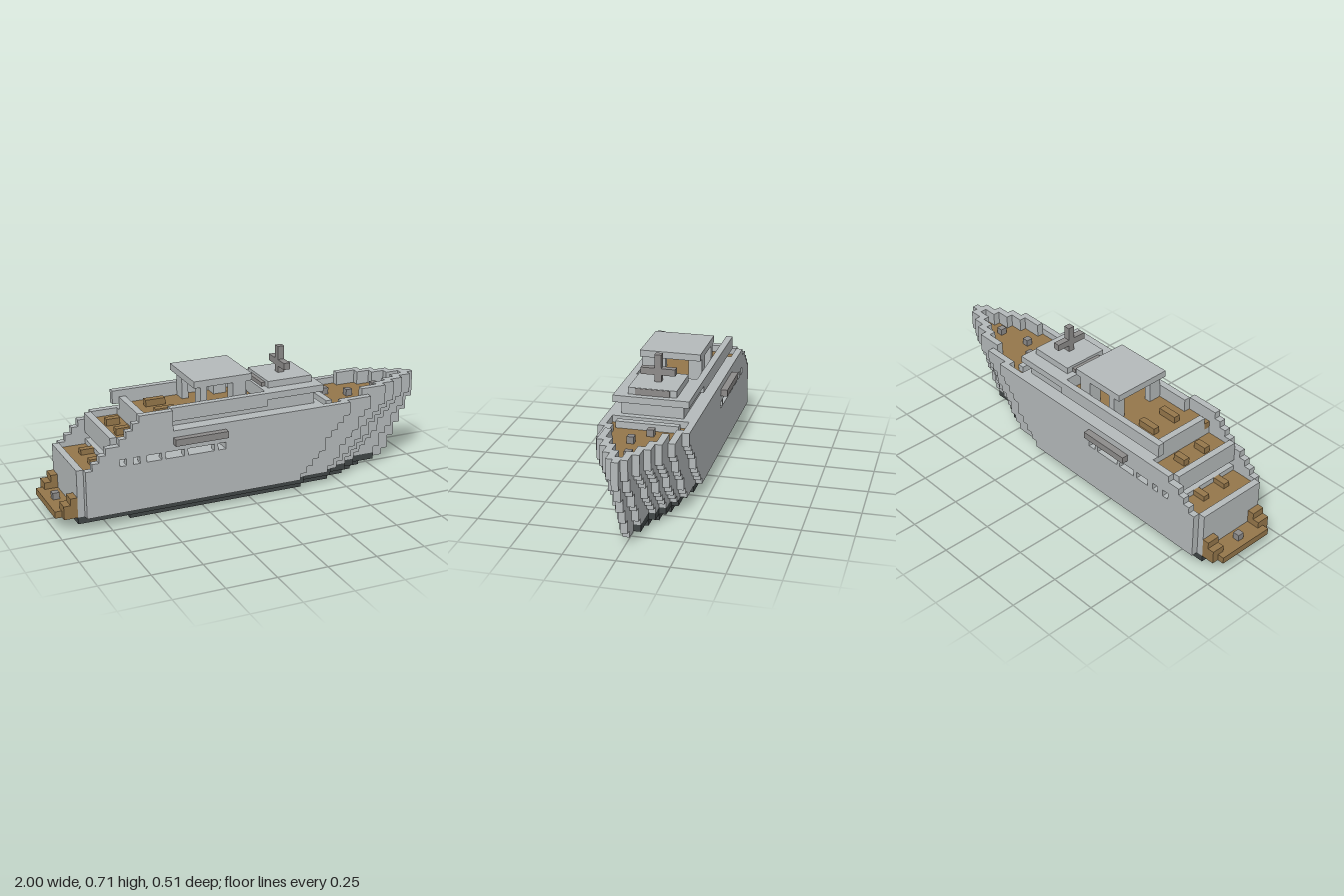
import * as THREE from 'three';
import { mergeGeometries } from 'three/addons/utils/BufferGeometryUtils.js';

const U = 2 / 59; // edge of one block

const paint = (name, color) => {
  const m = new THREE.MeshStandardMaterial({ color });
  m.name = name;
  return m;
};

// Box covering lengthwise cells i0..i1, cross cells j0..j1 (inclusive) and heights k0..k1
function box(i0, i1, j0, j1, k0, k1) {
  const g = new THREE.BoxGeometry((i1 - i0) * U, (k1 - k0) * U, (j1 - j0 + 1) * U);
  g.translate(-1 + (i0 + i1) / 2 * U, (k0 + k1) / 2 * U, (j0 + j1) / 2 * U);
  return g;
}
// The same box on both sides of the centre line
const pair = (i0, i1, j0, j1, k0, k1) => [box(i0, i1, j0, j1, k0, k1), box(i0, i1, -j1, -j0, k0, k1)];

// Forward end of hull row r (0 centre .. 6 side) at layer k: the bow flares with height
const LOW = [55, 52, 48, 46, 44, 42, 37];
const HIGH = [59, 58, 56, 54, 52, 49, 45];
function bowEnd(k, r) {
  const t = Math.min(1, (k - 2) / 9);
  return Math.round(LOW[r] + (HIGH[r] - LOW[r]) * t);
}

// One solid layer of the hull, split into rows towards the bow
function solidLayer(k, i0) {
  const out = [box(Math.max(i0, 4), bowEnd(k, 6), -6, 6, k, k + 1)];
  if (i0 < 4) out.push(box(i0, 4, -5, 5, k, k + 1));
  for (let r = 5; r >= 0; r--) {
    const a = bowEnd(k, r + 1), b = bowEnd(k, r);
    if (b > a) out.push(box(a, b, -r, r, k, k + 1));
  }
  return out;
}

// Stepped bow wall of one layer, for rows up to rMax
function bowWall(k, rMax) {
  const out = [];
  for (let r = rMax; r >= 0; r--) {
    const a = bowEnd(k, r + 1) - 1, b = bowEnd(k, r);
    out.push(...(r ? pair(a, b, r, r, k, k + 1) : [box(a, b, 0, 0, k, k + 1)]));
  }
  return out;
}

export function createModel() {
  const ship = new THREE.Group();
  ship.name = 'ship';
  const grey = paint('lightGrey', 0xb4b9ba);
  const dark = paint('midGrey', 0x8d8b8a);
  const keel = paint('charcoal', 0x404646);
  const wood = paint('deckBrown', 0x94764a);

  const add = (name, material, parts) => {
    const mesh = new THREE.Mesh(mergeGeometries(parts), material);
    mesh.name = name;
    ship.add(mesh);
  };

  // Underwater body, stepped in towards the bow
  const bottom = [], upperKeel = [];
  const ends0 = [50, 48, 46, 43, 38], ends1 = [52, 52, 48, 46, 43, 38];
  ends0.forEach((e, r) => bottom.push(...(r ? pair(11, e, r, r, 0, 1) : [box(11, e, 0, 0, 0, 1)])));
  ends1.forEach((e, r) => upperKeel.push(...(r ? pair(3, e, r, r, 1, 2) : [box(3, e, 0, 0, 1, 2)])));
  add('keelBottom', keel, bottom);
  add('keelUpper', keel, upperKeel);
  add('stem', grey, [box(52, 54, 0, 0, 1, 2)]);

  // Solid lower hull
  const hull = [];
  for (let k = 2; k < 8; k++) hull.push(...solidLayer(k, 3));
  hull.push(...solidLayer(8, 8), box(3, 4, -5, 5, 8, 9), ...pair(4, 8, 6, 6, 8, 9));
  // Window layer, then the closed layers above it
  hull.push(...solidLayer(9, 25), ...pair(5, 9, 6, 6, 9, 10));
  hull.push(...solidLayer(10, 8), ...pair(6, 8, 6, 6, 10, 11));
  hull.push(...pair(7, bowEnd(11, 6), 6, 6, 11, 12), ...bowWall(11, 5));
  add('hull', grey, hull);

  // Posts inside the long side openings
  const posts = [];
  for (const i of [10, 12]) posts.push(...pair(i, i + 1, 6, 6, 9, 10));
  for (const i of [15.2, 18.6, 23.2]) posts.push(...pair(i, i + 0.6, 6, 6, 9, 10));
  add('windowPosts', grey, posts);

  // Bulwark around the hull, raised at the bow
  add('bulwark', grey, [
    ...pair(9, bowEnd(12, 6), 6, 6, 12, 13), ...bowWall(12, 5),
    ...bowWall(13, 4),
  ]);

  // Main deck: aft terrace, grey side decks and fore deck
  const fore = [];
  for (let r = 5; r >= 0; r--) {
    const e = bowEnd(11, r + 1) - 1;
    fore.push(...(r ? pair(41, e, r, r, 11, 12) : [box(41, e, 0, 0, 11, 12)]));
  }
  add('foreDeck', wood, fore);
  add('aftDeck', wood, [box(4, 8, -5, 5, 8, 8.2)]);
  add('middleDeck', wood, [box(9, 13, -5, 5, 11, 12)]);
  add('terraceWalls', grey, [box(8, 9, -5, 5, 11, 13), box(13, 14, -4, 4, 12, 15)]);
  add('house', grey, [
    box(13, 41, -5, 5, 11, 13), box(14, 40, -4, 4, 13, 13.8), box(32, 40, -4, 4, 13.8, 15),
  ]);

  // Upper deck with its rails; the rails overhang a narrow slot
  add('upperDeck', wood, [box(14, 32, -4, 4, 13.8, 14), box(13, 17, 5, 5, 13, 14)]);
  add('upperRails', grey, [
    box(10, 17, 6, 6, 13, 14), box(11, 17, 6, 6, 14, 15), box(12, 17, 6, 6, 15, 16),
    box(17, 32, 5, 5, 14, 16), box(12, 32, -5, -5, 14, 16),
  ]);
  add('bridgeRoof', grey, [box(32, 41, -5, 5, 15, 16)]);
  add('roofHousing', grey, [box(33, 40, -3, 3, 16, 17)]);
  add('roofVents', dark, [box(39.9, 40.1, -2, 2, 16, 16.95), box(32.4, 33, -2, 2, 16, 16.6)]);

  // Mast with cross arm
  add('mast', dark, [box(36, 37, 0, 0, 17, 21), ...pair(36, 37, 1, 2, 18, 19)]);

  // Canopy on four supports
  add('canopy', grey, [box(21, 30, -4, 4, 18, 19)]);
  add('canopySupports', grey, [
    ...pair(22, 23, 3, 4, 14, 18), ...pair(27, 29, 3, 4, 14, 18),
  ]);

  // Long boxes on the hull sides
  add('sideBoxes', dark, pair(17, 25, 7, 7, 11, 12));

  // Stern platform and its stairs
  add('sternPlatform', wood, [box(0, 3, -4, 4, 2, 3), ...pair(1, 3, 5, 5, 2, 3)]);
  add('sternStairs', wood, [...pair(1, 3, 4, 5, 3, 4), ...pair(2, 3, 4, 5, 4, 5)]);

  // Benches and small fittings on the decks
  add('benches', wood, [
    ...pair(6, 8, 2, 2, 8.2, 9), ...pair(10, 12, 2, 2, 12, 13), ...pair(16, 19, 2, 2, 14, 15),
  ]);
  add('foreBench', grey, [box(42, 43, -4, 4, 12, 13)]);
  add('deckFittings', dark, [
    box(1, 2, 0, 0, 3, 4), box(30, 31, 0, 0, 14, 15),
    box(44, 45, -1, -1, 12, 13), box(47, 48, 1, 1, 12, 13), box(52, 53, 0, 0, 12, 13),
  ]);

  return ship;
}
